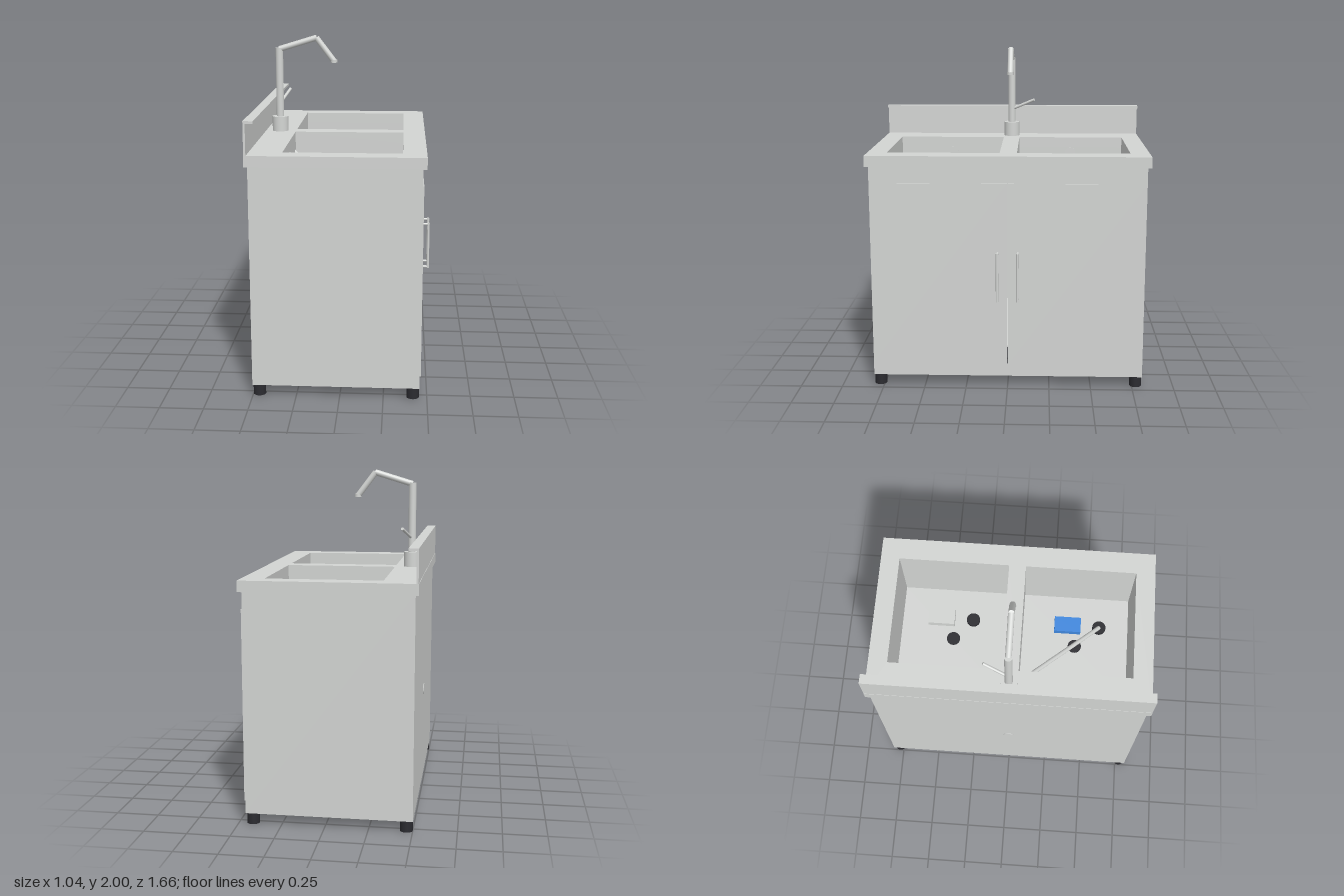
import * as THREE from 'three';

const mat = (name, color) => {
  const m = new THREE.MeshStandardMaterial({ color });
  m.name = name;
  return m;
};

export function createModel() {
  const model = new THREE.Group();
  model.name = 'sinkCabinet';
  const steel = mat('brushedSteel', 0xd3d5d3);
  const black = mat('blackRubber', 0x2b2b30);
  const blue = mat('bluePlastic', 0x4088de);

  const add = (name, geo, material = steel) => {
    const m = new THREE.Mesh(geo, material);
    m.name = name;
    model.add(m);
    return m;
  };
  // box given by its min and max on each axis
  const box = (name, x0, x1, y0, y1, z0, z1, material) => {
    const m = add(name, new THREE.BoxGeometry(x1 - x0, y1 - y0, z1 - z0), material);
    m.position.set((x0 + x1) / 2, (y0 + y1) / 2, (z0 + z1) / 2);
  };
  // round bar between two points
  const rod = (name, a, b, r, material, sides = 24) => {
    const p = new THREE.Vector3(...a), q = new THREE.Vector3(...b);
    const d = q.clone().sub(p);
    const m = add(name, new THREE.CylinderGeometry(r, r, d.length(), sides), material);
    m.position.copy(p).add(q).multiplyScalar(0.5);
    m.quaternion.setFromUnitVectors(new THREE.Vector3(0, 1, 0), d.normalize());
  };

  // cabinet shell of thin sheet
  box('backPanel', -0.502, -0.497, 0.065, 1.346, -0.81, 0.81);
  for (const [z0, z1] of [[-0.81, -0.805], [0.805, 0.81]]) {
    box('sidePanel', -0.497, 0.457, 0.065, 1.346, z0, z1);
  }
  box('topRail', 0.45, 0.457, 1.24, 1.346, -0.805, 0.805);
  box('kickRail', 0.45, 0.457, 0.065, 0.14, -0.805, 0.805);
  box('bottomShelf', -0.497, 0.45, 0.245, 0.255, -0.805, 0.805);

  // corner posts and feet
  for (const x of [-0.464, 0.419]) {
    for (const z of [-0.774, 0.774]) {
      box('cornerPost', x - 0.031, x + 0.031, 0.065, 1.346, z - 0.031, z + 0.031);
      rod('foot', [x, 0, z], [x, 0.057, z], 0.036, black);
      rod('footCollar', [x, 0.05, z], [x, 0.07, z], 0.033, black);
    }
  }

  // doors and handles
  for (const s of [-1, 1]) {
    const [z0, z1] = s > 0 ? [0.003, 0.808] : [-0.808, -0.003];
    box('door', 0.445, 0.463, 0.14, 1.248, z0, z1);
    const z = s * 0.06;
    rod('handleBar', [0.511, 0.548, z], [0.511, 0.842, z], 0.0075);
    for (const y of [0.556, 0.834]) rod('handlePost', [0.455, y, z], [0.511, y, z], 0.0075);
  }

  // worktop with two bowl openings
  const X0 = -0.319, X1 = 0.346;
  const bowls = [[-0.717, -0.052], [0.05, 0.715]];
  const top = new THREE.Shape([[-0.52, -0.83], [0.478, -0.83], [0.478, 0.83], [-0.52, 0.83]]
    .map(p => new THREE.Vector2(...p)));
  for (const [z0, z1] of bowls) {
    top.holes.push(new THREE.Path([[X0, -z0], [X0, -z1], [X1, -z1], [X1, -z0]]
      .map(p => new THREE.Vector2(...p))));
  }
  const topGeo = new THREE.ExtrudeGeometry(top, { depth: 0.064, bevelEnabled: false });
  topGeo.rotateX(-Math.PI / 2);
  add('worktop', topGeo).position.y = 1.346;

  // backsplash with folded lip
  box('backsplash', -0.518, -0.506, 1.41, 1.6, -0.83, 0.83);
  box('backsplashLip', -0.506, -0.462, 1.585, 1.6, -0.83, 0.83);

  // bowls, each with drain, overflow, and the cap and handle of a water can
  const F = 0.97, T = 0.006;
  bowls.forEach(([z0, z1], i) => {
    box('bowlFloor', X0 - T, X1 + T, F - T, F, z0 - T, z1 + T);
    box('bowlBackWall', X0 - T, X0, F, 1.346, z0 - T, z1 + T);
    box('bowlFrontWall', X1, X1 + T, F, 1.346, z0 - T, z1 + T);
    box('bowlSideWall', X0, X1, F, 1.346, z0 - T, z0);
    box('bowlSideWall', X0, X1, F, 1.346, z1, z1 + T);
    const zc = (z0 + z1) / 2;
    rod('drain', [0.013, F, zc], [0.013, F + 0.008, zc], 0.042, black, 32);
    const zs = [-0.268, 0.532][i], zb = [-0.468, 0.332][i];
    rod('canCap', [0.145, F, zs], [0.145, F + 0.02, zs], 0.042, black, 32);
    rod('overflow', [X0, 1.31, zc], [X0 + 0.004, 1.31, zc], 0.035);
    box('canHandle', 0.097, 0.195, F, F + 0.04, zb - 0.083, zb + 0.083, i ? blue : steel);
  });
  // supply hose from under the tap to the can
  rod('supplyHose', [0.145, 0.985, 0.532], [-0.416, 1.352, 0], 0.013);

  // round cover on the back
  rod('backCover', [-0.506, 0.635, 0], [-0.502, 0.635, 0], 0.033);

  // tap
  rod('tapBase', [-0.418, 1.41, 0], [-0.418, 1.5, 0], 0.049, steel, 32);
  rod('tapColumn', [-0.418, 1.5, 0], [-0.418, 1.92, 0], 0.023);
  rod('tapArm', [-0.418, 1.912, 0], [-0.188, 1.982, 0], 0.018);
  rod('tapSpout', [-0.191, 1.982, 0], [-0.083, 1.84, 0], 0.018);
  rod('tapNozzle', [-0.083, 1.832, 0], [-0.083, 1.85, 0], 0.021);
  rod('tapLever', [-0.412, 1.588, -0.01], [-0.37, 1.65, -0.148], 0.009);

  return model;
}
